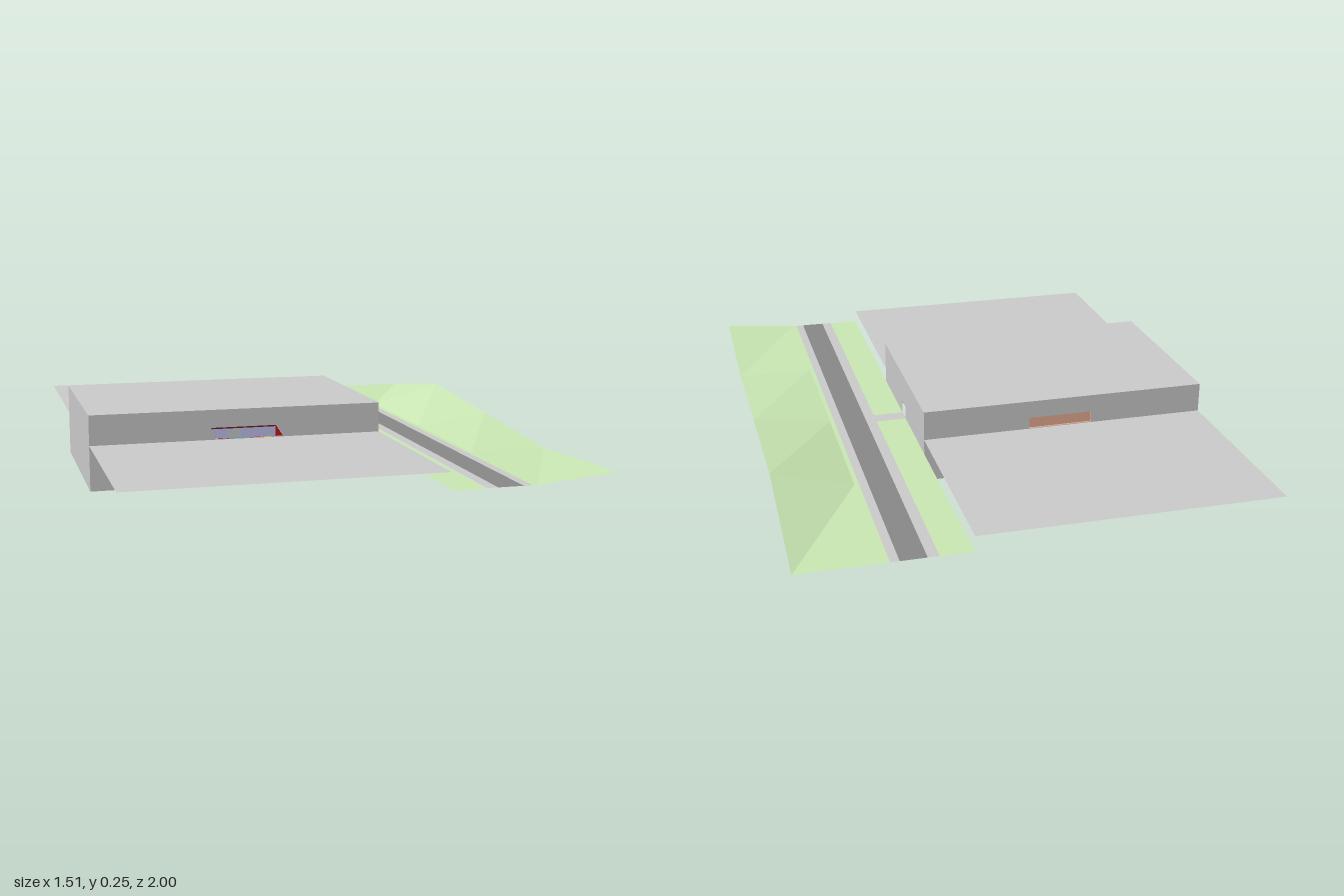
import * as THREE from 'three';

const GREY = 0xcccccc, GREEN = 0xcae8b4, ROAD = 0x888888, BROWN = 0xe8ac94;
const X0 = -0.755, X1 = 0.225, Z0 = -0.335, Z1 = 0.32, TOP = 0.25;
const GROUND = 0.1, DECK = 0.15;

function mesh(name, geometry, color) {
  const material = new THREE.MeshStandardMaterial({ color, side: THREE.DoubleSide, flatShading: true });
  const m = new THREE.Mesh(geometry, material);
  m.name = name;
  return m;
}

// Horizontal sheet spanning the given x and z range
function sheet(name, color, x0, x1, z0, z1, y) {
  const g = new THREE.PlaneGeometry(x1 - x0, z1 - z0).rotateX(-Math.PI / 2);
  return mesh(name, g.translate((x0 + x1) / 2, y, (z0 + z1) / 2), color);
}

function polygon(points) {
  return new THREE.Shape(points.map(([x, y]) => new THREE.Vector2(x, y)));
}

// Upright wall of the hall, with an optional opening
function wall(name, u0, u1, hole) {
  const s = polygon([[u0, 0], [u1, 0], [u1, TOP], [u0, TOP]]);
  if (hole) s.holes.push(polygon(hole));
  return mesh(name, new THREE.ShapeGeometry(s), GREY);
}

// Square ring lying flat, used for the banded floor
function ring(name, color, outer, inner, y) {
  const sq = (r) => [[-r, -r], [r, -r], [r, r], [-r, r]];
  const s = polygon(sq(outer));
  s.holes.push(polygon(sq(inner)));
  return mesh(name, new THREE.ShapeGeometry(s).rotateX(-Math.PI / 2).translate(-0.2, y, 0), color);
}

function buildHall() {
  const hall = new THREE.Group();
  hall.name = 'hall';
  const frontHole = [[-0.34, 0.152], [-0.11, 0.152], [-0.135, 0.19], [-0.355, 0.19]];
  const backHole = [[-0.36, 0.152], [-0.14, 0.152], [-0.14, 0.19], [-0.36, 0.19]];
  const front = wall('frontWall', X0, X1, frontHole);
  front.position.z = Z1;
  const back = wall('backWall', X0, X1, backHole);
  back.position.z = Z0;
  const doorHole = [[-0.02, 0.1], [0.035, 0.1], [0.035, 0.142], [-0.02, 0.142]];
  const right = wall('doorWall', -Z1, -Z0, doorHole);
  right.rotation.y = Math.PI / 2;
  right.position.x = X1;
  const left = wall('plainWall', -Z1, -Z0);
  left.rotation.y = Math.PI / 2;
  left.position.x = X0;
  hall.add(front, back, right, left, sheet('roof', GREY, X0, X1, Z0, Z1, TOP));

  // Coloured infill just behind the front and back openings
  const panel = (name, color, pts, z) => {
    const m = mesh(name, new THREE.ShapeGeometry(polygon(pts)), color);
    m.position.z = z;
    hall.add(m);
  };
  panel('frontInfill', 0xc4c4f0, frontHole, Z1 - 0.006);
  panel('frontWindow', 0xffffff, [[-0.3, 0.153], [-0.255, 0.153], [-0.255, 0.183], [-0.3, 0.183]], Z1 - 0.004);
  panel('frontRedEnd', 0xc01818, [[-0.135, 0.152], [-0.11, 0.152], [-0.135, 0.19]], Z1 - 0.004);
  panel('frontLintel', 0x702028, [[-0.354, 0.185], [-0.132, 0.185], [-0.135, 0.19], [-0.355, 0.19]], Z1 - 0.003);
  panel('backInfill', BROWN, backHole, Z0 + 0.006);
  return hall;
}

function buildFloor() {
  const floor = new THREE.Group();
  floor.name = 'floor';
  // Concentric bands around the centre
  const colors = [0x999999, 0xc89080, BROWN, 0xc89080, BROWN, 0xc89080];
  const radii = [0.318, 0.285, 0.25, 0.215, 0.18, 0.15, 0.115];
  colors.forEach((c, i) => floor.add(ring('floorBand', c, radii[i], radii[i + 1], GROUND)));

  // Chequered centre
  const tiles = [0xff1038, 0x10a0f0, 0xf0e010, 0x10d090, 0x900020];
  const n = 6, size = 0.23 / n;
  for (let i = 0; i < n; i++) for (let j = 0; j < n; j++) {
    const x = -0.315 + i * size, z = -0.115 + j * size;
    const corner = (i === 0 || i === n - 1) && (j === 0 || j === n - 1);
    const color = corner ? BROWN : tiles[(i * 2 + j * 3 + (i * j) % 2) % 5];
    floor.add(sheet('floorTile', color, x, x + size, z, z + size, GROUND));
  }

  // Bevelled side platform with dark steps
  const pts = [[-0.518, -0.22], [-0.56, -0.2], [-0.6, -0.12], [-0.66, -0.08],
    [-0.66, 0.2], [-0.6, 0.28], [-0.518, 0.3]];
  floor.add(mesh('sidePlatform', new THREE.ShapeGeometry(polygon(pts)).rotateX(-Math.PI / 2).translate(0, GROUND, 0), BROWN));
  floor.add(sheet('sideStep', 0x999999, -0.7, -0.66, -0.2, 0.06, GROUND + 0.005));
  return floor;
}

// Bank whose outer edge rises and falls along its length
function buildBank() {
  const g = new THREE.PlaneGeometry(0.265, 2, 1, 4).rotateX(-Math.PI / 2);
  const heights = [0.1, 0.173, 0.137, 0.1, 0.125];
  const p = g.attributes.position;
  for (let i = 0; i < p.count; i++) {
    const outer = p.getX(i) > 0;
    const row = Math.round((p.getZ(i) + 1) * 2);
    p.setY(i, outer ? heights[row] : GROUND);
  }
  g.translate(0.49 + 0.1325, 0, 0);
  g.computeVertexNormals();
  return mesh('grassBank', g, GREEN);
}

function buildStreet() {
  const street = new THREE.Group();
  street.name = 'street';
  const y = GROUND;
  street.add(
    sheet('lawnBack', GREEN, X1, 0.33, -1, -0.035, y - 0.002),
    sheet('lawnFront', GREEN, X1, 0.33, 0.02, 1, y - 0.002),
    sheet('doorPath', GREY, X1, 0.33, -0.035, 0.02, y - 0.002),
    sheet('nearPavement', GREY, 0.33, 0.365, -1, 1, y),
    sheet('road', ROAD, 0.365, 0.447, -1, 1, y),
    sheet('farPavement', GREY, 0.447, 0.475, -1, 1, y),
    sheet('verge', GREEN, 0.475, 0.49, -1, 1, y),
    buildBank(),
  );
  return street;
}

export function createModel() {
  const model = new THREE.Group();
  model.name = 'hallAndStreet';
  model.add(buildHall(), buildFloor(), buildStreet());
  // Paved decks before and behind the hall
  model.add(
    sheet('frontDeck', GREY, X0, X1, Z1, 0.98, DECK),
    sheet('backDeck', GREY, X0, X1, -1, Z0, DECK),
  );
  return model;
}
